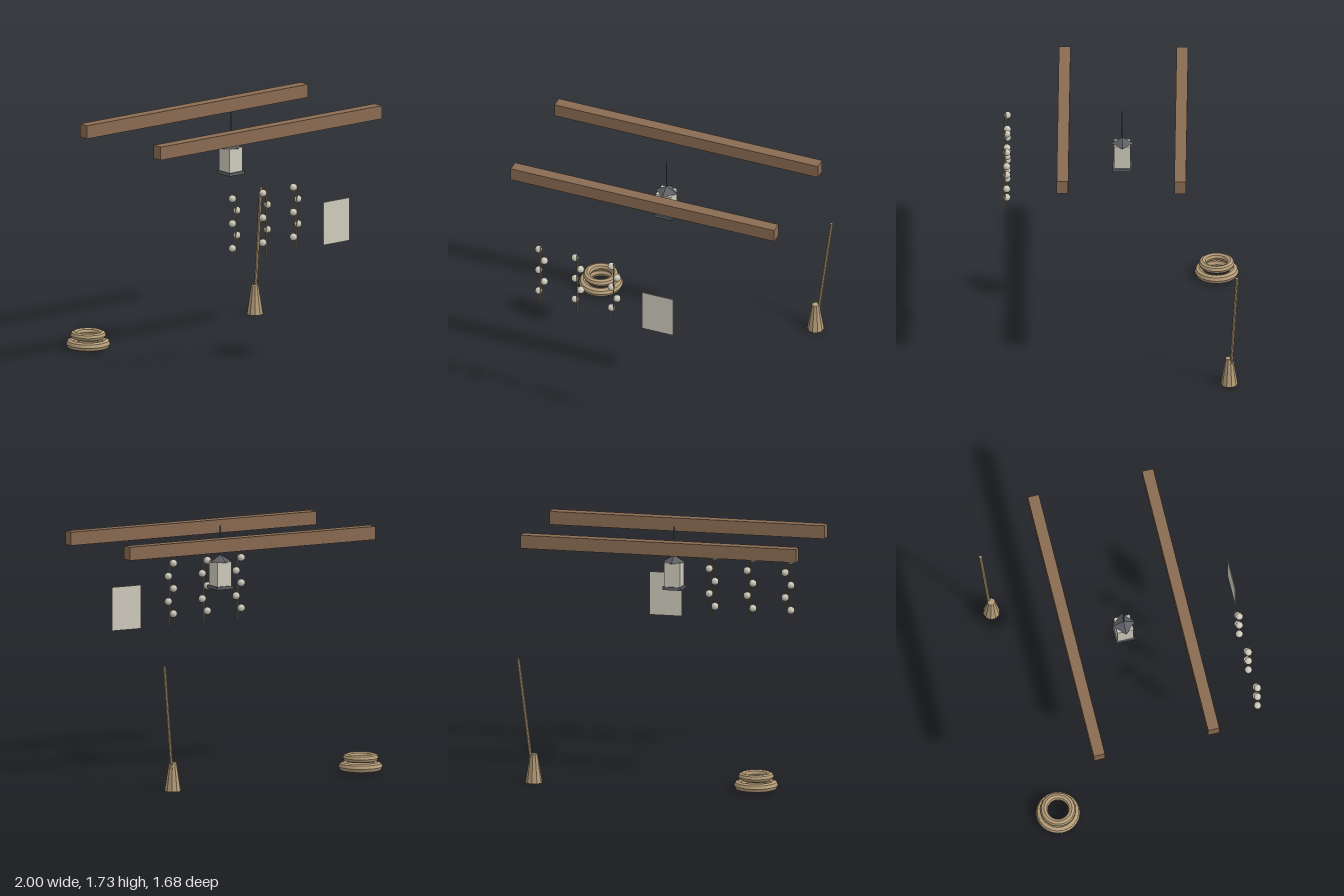
import * as THREE from 'three';

const mat = (name, color, flat = false) => {
  const m = new THREE.MeshStandardMaterial({ color, flatShading: flat });
  m.name = name;
  return m;
};

export function createModel() {
  const root = new THREE.Group();
  root.name = 'hangingProps';

  const wood = mat('beamWood', 0x8a6b52);
  const metal = mat('darkMetal', 0x5e6066, true);
  const paper = mat('paper', 0xcfcbbd);
  const bulb = mat('garlicWhite', 0xcfcabb);
  const straw = mat('straw', 0xb59d79, true);

  const add = (parent, name, geometry, material, x, y, z) => {
    const mesh = new THREE.Mesh(geometry, material);
    mesh.name = name;
    mesh.position.set(x, y, z);
    parent.add(mesh);
    return mesh;
  };
  const group = (name, x, y, z) => {
    const g = new THREE.Group();
    g.name = name;
    g.position.set(x, y, z);
    root.add(g);
    return g;
  };

  // Two ceiling beams
  add(root, 'frontBeam', new THREE.BoxGeometry(2, 0.095, 0.081), wood, 0, 1.662, 0.402);
  add(root, 'backBeam', new THREE.BoxGeometry(2, 0.095, 0.081), wood, 0, 1.662, -0.427);

  // Hanging lantern: base plate, paper body, pyramid roof and rod
  const lantern = group('lantern', 0, 0, -0.012);
  add(lantern, 'lanternBase', new THREE.BoxGeometry(0.136, 0.022, 0.136), metal, 0, 1.294, 0);
  add(lantern, 'lanternBody', new THREE.BoxGeometry(0.117, 0.174, 0.117), paper, 0, 1.39, 0);
  add(lantern, 'lanternRoof', new THREE.ConeGeometry(0.083, 0.05, 4), metal, 0, 1.5, 0);
  add(lantern, 'lanternRod', new THREE.CylinderGeometry(0.005, 0.005, 0.22, 6), metal, 0, 1.62, 0);

  // Three strings with bulbs on alternating sides
  const stringGeo = new THREE.CylinderGeometry(0.005, 0.005, 0.485, 6);
  const bulbGeo = new THREE.SphereGeometry(0.027, 12, 8);
  for (const x of [-0.622, -0.346, -0.07]) {
    const strand = group('bulbString', x, 0, 0);
    add(strand, 'string', stringGeo, straw, 0, 1.143, 0.818);
    for (let i = 0; i < 5; i++) {
      add(strand, 'bulb', bulbGeo, bulb, i % 2 ? 0.021 : -0.021, 1.35 - i * 0.09, 0.804);
    }
  }

  // Thin hanging sheet
  add(root, 'paperSheet', new THREE.BoxGeometry(0.236, 0.31, 0.005), paper, 0.273, 1.055, 0.836);

  // Rope coil of two stacked rings
  const coil = group('ropeCoil', -0.761, 0, -0.67);
  for (const [name, radius, tube, y] of [['lowerRing', 0.124, 0.032, 0.044], ['upperRing', 0.099, 0.027, 0.107]]) {
    add(coil, name, new THREE.TorusGeometry(radius, tube, 8, 24).rotateX(Math.PI / 2), straw, 0, y, 0);
  }

  // Broom with a flared head and leaning handle
  const broom = group('broom', 0, 0, 0);
  add(broom, 'broomHead', new THREE.CylinderGeometry(0.027, 0.06, 0.207, 10), straw, 0.828, 0.1035, -0.772);
  const foot = new THREE.Vector3(0.838, 0.1, -0.782);
  const tip = new THREE.Vector3(0.928, 0.898, -0.827);
  const dir = tip.clone().sub(foot);
  const handle = add(broom, 'broomHandle', new THREE.CylinderGeometry(0.012, 0.012, dir.length(), 8), straw, 0, 0, 0);
  handle.position.copy(foot).add(tip).multiplyScalar(0.5);
  handle.quaternion.setFromUnitVectors(new THREE.Vector3(0, 1, 0), dir.normalize());

  return root;
}
